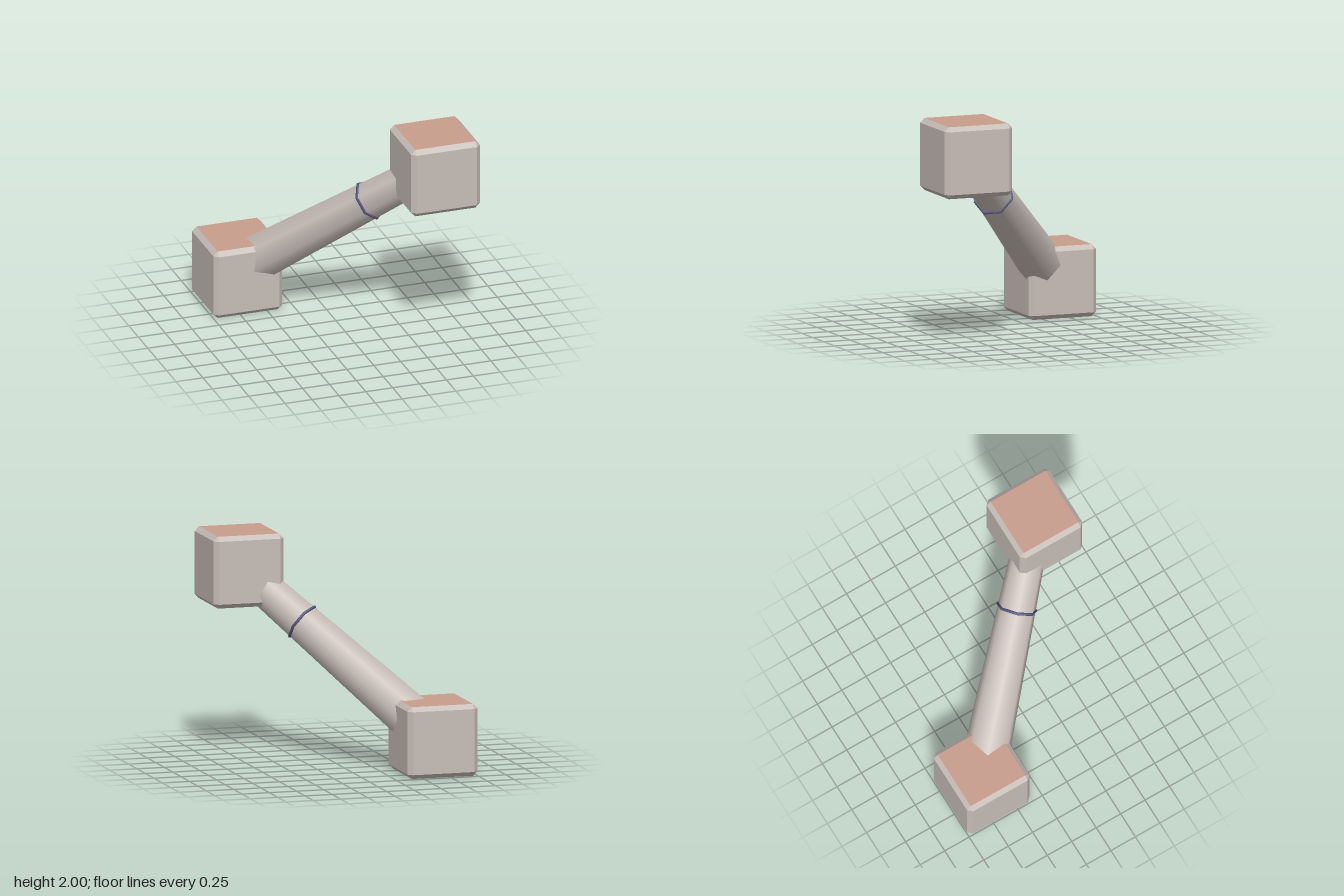
import * as THREE from 'three';
import { ConvexGeometry } from 'three/addons/geometries/ConvexGeometry.js';

const HALF = 0.32;    // half the block width
const CHAMFER = 0.04;
const CENTRE = 0.68;  // block offset from the middle on every axis

function makeMaterial(name, color) {
  const material = new THREE.MeshStandardMaterial({ color });
  material.name = name;
  return material;
}

// Cube with chamfered edges; group 1 holds the top and bottom faces, group 0 the rest
function chamferedCube() {
  const inner = HALF - CHAMFER;
  const points = [];
  for (const sx of [-1, 1]) for (const sy of [-1, 1]) for (const sz of [-1, 1]) {
    for (let axis = 0; axis < 3; axis++) {
      const p = [sx * inner, sy * inner, sz * inner];
      p[axis] *= HALF / inner;
      points.push(new THREE.Vector3(...p));
    }
  }
  const geometry = new ConvexGeometry(points);
  const normals = geometry.attributes.normal;
  for (let i = 0; i < normals.count; i += 3) {
    geometry.addGroup(i, 3, Math.abs(normals.getY(i)) > 0.99 ? 1 : 0);
  }
  return geometry;
}

export function createModel() {
  const stone = makeMaterial('warm grey', 0xc8beb8);
  const clay = makeMaterial('clay pink', 0xc89d8c);
  const indigo = makeMaterial('indigo', 0x55567f);

  const model = new THREE.Group();
  model.name = 'linkedBlocks';

  // Two blocks on opposite corners of the diagonal
  const cube = chamferedCube();
  for (const [name, side] of [['lowerBlock', -1], ['upperBlock', 1]]) {
    const block = new THREE.Mesh(cube, [stone, clay]);
    block.name = name;
    block.position.set(side * CENTRE, 1 + side * CENTRE, side * CENTRE);
    model.add(block);
  }

  // Diagonal strut: its local y runs from the lower block to the upper block
  const strut = new THREE.Group();
  strut.name = 'strut';
  const along = new THREE.Vector3(1, 1, 1).normalize();
  const corner = new THREE.Vector3(-2, 1, 1).normalize();
  const across = new THREE.Vector3().crossVectors(along, corner);
  strut.quaternion.setFromRotationMatrix(new THREE.Matrix4().makeBasis(across, along, corner));
  strut.position.y = 1;
  model.add(strut);

  // Tapered seven-sided rod
  const length = 2 * CENTRE * Math.sqrt(3);
  const rod = new THREE.Mesh(new THREE.CylinderGeometry(0.153, 0.213, length, 7), stone);
  rod.name = 'rod';
  strut.add(rod);

  // Thin collar around the rod, corners in line with the rod's
  const collarGeometry = new THREE.TorusGeometry(0.174, 0.014, 6, 7);
  collarGeometry.rotateX(Math.PI / 2).rotateY(-Math.PI / 2);
  const collar = new THREE.Mesh(collarGeometry, indigo);
  collar.name = 'collar';
  collar.position.y = 0.23 * Math.sqrt(3);
  strut.add(collar);

  return model;
}
